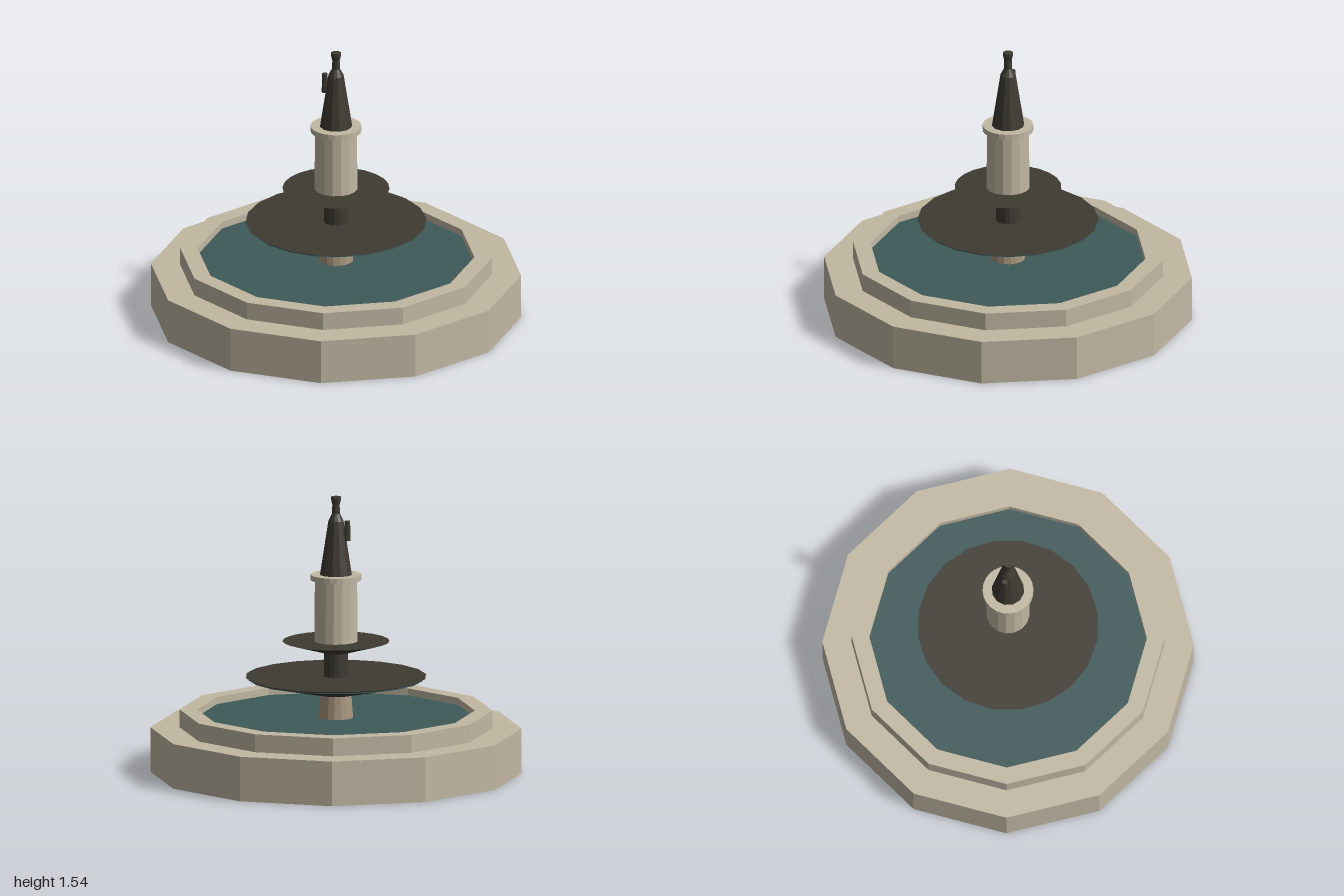
import * as THREE from 'three';

const material = (color) => new THREE.MeshStandardMaterial({ color, flatShading: true, side: THREE.DoubleSide });

export function createModel() {
  const group = new THREE.Group();
  const stone = material(0xc2b8a3);
  const pedestalStone = material(0xa8977f);
  const bronze = material(0x3e3a32);
  const water = material(0x3e5959);
  const basinTurn = 0.215;

  // Revolved part from [radius, height] points
  function turned(name, points, sides, mat, start = 0) {
    const profile = points.map(([r, y]) => new THREE.Vector2(r, y));
    const mesh = new THREE.Mesh(new THREE.LatheGeometry(profile, sides, start), mat);
    mesh.name = name;
    group.add(mesh);
    return mesh;
  }

  // Twelve-sided base, raised rim and pool
  turned('base', [[0, 0], [1.023, 0], [1.023, 0.25], [0, 0.25]], 12, stone, basinTurn);
  turned('basinRim', [[0.862, 0.25], [0.862, 0.35], [0.765, 0.35], [0.765, 0.25]], 12, stone, basinTurn);
  turned('poolWater', [[0.765, 0.31], [0, 0.31]], 12, water, basinTurn);

  // Pedestal and lower stem
  turned('pedestal', [[0.1, 0.25], [0.085, 0.44]], 16, pedestalStone);
  turned('stem', [[0.07, 0.44], [0.065, 0.68]], 16, bronze);

  // Two shallow bowls with closed tops; a line of water shows under the lower lip
  const half = Math.PI / 20;
  turned('lowerBowl', [[0, 0.44], [0.1, 0.44], [0.485, 0.527]], 20, bronze, half);
  turned('lowerBowlWater', [[0.485, 0.527], [0.485, 0.534]], 20, water, half);
  turned('lowerBowlLip', [[0.485, 0.534], [0.5, 0.54], [0, 0.54]], 20, bronze, half);
  turned('upperBowl', [[0, 0.67], [0.06, 0.67], [0.295, 0.737], [0, 0.737]], 24, bronze);

  // Upper column with cap
  turned('column', [[0.12, 0.735], [0.117, 1.085]], 16, stone);
  turned('columnCap', [[0, 1.08], [0.14, 1.08], [0.14, 1.11], [0, 1.11]], 24, stone);

  // Tapered figure with neck and head
  turned('statue', [[0.09, 1.11], [0.043, 1.41], [0.022, 1.45], [0.021, 1.5], [0.028, 1.53], [0.028, 1.545], [0, 1.545]], 12, bronze);

  // Arm held against the body
  const arm = new THREE.Mesh(new THREE.CylinderGeometry(0.016, 0.018, 0.11, 8), bronze);
  arm.name = 'arm';
  arm.position.set(-0.055, 1.357, -0.035);
  group.add(arm);

  return group;
}
